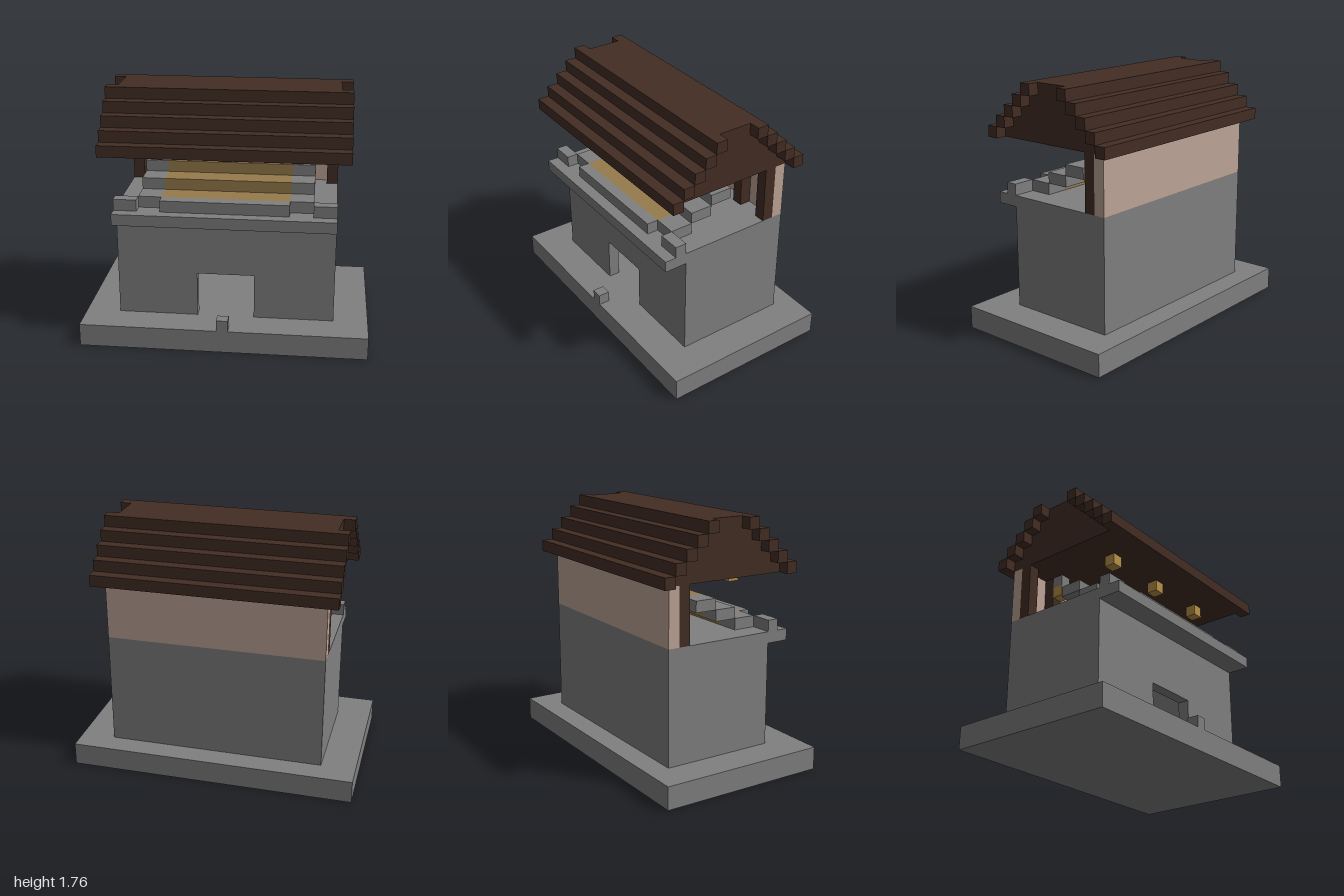
import * as THREE from 'three';

const mat = (name, color) => {
  const m = new THREE.MeshStandardMaterial({ color });
  m.name = name;
  return m;
};

export function createModel() {
  const stone = mat('stone grey', 0x808080);
  const wood = mat('dark wood', 0x442e24);
  const plaster = mat('pink plaster', 0xbfa598);
  const lamp = mat('lamp yellow', 0xba9249);
  const straw = mat('dull straw', 0x977b4c);

  const model = new THREE.Group();
  model.name = 'gatehouse';

  // Box given by its min and max on each axis
  const box = (name, material, [x0, x1], [y0, y1], [z0, z1], parent = model) => {
    const mesh = new THREE.Mesh(new THREE.BoxGeometry(x1 - x0, y1 - y0, z1 - z0), material);
    mesh.position.set((x0 + x1) / 2, (y0 + y1) / 2, (z0 + z1) / 2);
    mesh.name = name;
    parent.add(mesh);
  };
  const group = (name) => {
    const g = new THREE.Group();
    g.name = name;
    model.add(g);
    return g;
  };

  // Plinth with a small block before the door
  box('plinth', stone, [-1, 1], [0, 0.16], [-0.6, 0.6]);
  box('doorBlock', stone, [-0.04, 0.04], [0.16, 0.24], [0.52, 0.6]);

  // Hollow lower storey: front wall with a door opening, sides and back
  const shape = new THREE.Shape([
    [-0.76, 0.16], [-0.2, 0.16], [-0.2, 0.48], [0.2, 0.48],
    [0.2, 0.16], [0.76, 0.16], [0.76, 0.88], [-0.76, 0.88],
  ].map(([x, y]) => new THREE.Vector2(x, y)));
  const front = new THREE.Mesh(new THREE.ExtrudeGeometry(shape, { depth: 0.08, bevelEnabled: false }), stone);
  front.position.z = 0.28;
  front.name = 'frontWall';
  model.add(front);
  box('backWall', stone, [-0.76, 0.76], [0.16, 0.88], [-0.44, -0.36]);
  box('leftWall', stone, [0.68, 0.76], [0.16, 0.88], [-0.36, 0.28]);
  box('rightWall', stone, [-0.76, -0.68], [0.16, 0.88], [-0.36, 0.28]);

  // Upper floor, reaching forward as a balcony
  box('upperFloor', stone, [-0.76, 0.76], [0.88, 0.96], [-0.44, 0.52]);
  const parapet = group('parapet');
  for (const [x0, x1] of [[-0.76, -0.6], [-0.44, 0.44], [0.6, 0.76]])
    box('parapetBlock', stone, [x0, x1], [0.96, 1.04], [0.36, 0.44], parapet);

  // Rising steps with a straw-coloured middle
  const steps = group('steps');
  for (let i = 0; i < 3; i++) {
    const y = [0.96 + 0.08 * i, 1.04 + 0.08 * i];
    const z = [0.2 - 0.16 * i, 0.36 - 0.16 * i];
    box('stepMiddle', straw, [-0.44, 0.44], y, z, steps);
    box('stepEnd', stone, [-0.6, -0.44], y, z, steps);
    box('stepEnd', stone, [0.44, 0.6], y, z, steps);
  }

  // Upper back wall and its row of posts
  box('upperBackWall', plaster, [-0.76, 0.76], [0.96, 1.36], [-0.44, -0.36]);
  const posts = group('posts');
  for (let i = -3; i <= 3; i++)
    box('post', wood, [0.24 * i - 0.04, 0.24 * i + 0.04], [0.96, 1.36], [-0.36, -0.28], posts);

  // Lamps: one row on the posts with grey brackets, one row under the front eave
  const lamps = group('lamps');
  for (const x of [-0.48, 0, 0.48]) {
    const xs = [x - 0.04, x + 0.04];
    box('backLamp', lamp, xs, [1.2, 1.28], [-0.28, -0.2], lamps);
    box('lampBracket', stone, xs, [1.28, 1.36], [-0.28, -0.2], lamps);
    box('frontLamp', lamp, xs, [1.28, 1.36], [0.2, 0.28], lamps);
  }

  // Stepped roof: gable core with longer rows of beams on both slopes
  const roof = group('roof');
  for (let i = 0; i < 5; i++) {
    const y = [1.36 + 0.08 * i, 1.44 + 0.08 * i];
    const z = 0.44 - 0.08 * i;
    box('roofCore', wood, [-0.76, 0.76], y, [-z, z], roof);
    box('frontRoofBeam', wood, [-0.84, 0.84], y, [z, z + 0.08], roof);
    box('backRoofBeam', wood, [-0.84, 0.84], y, [-z - 0.08, -z], roof);
  }

  return model;
}
